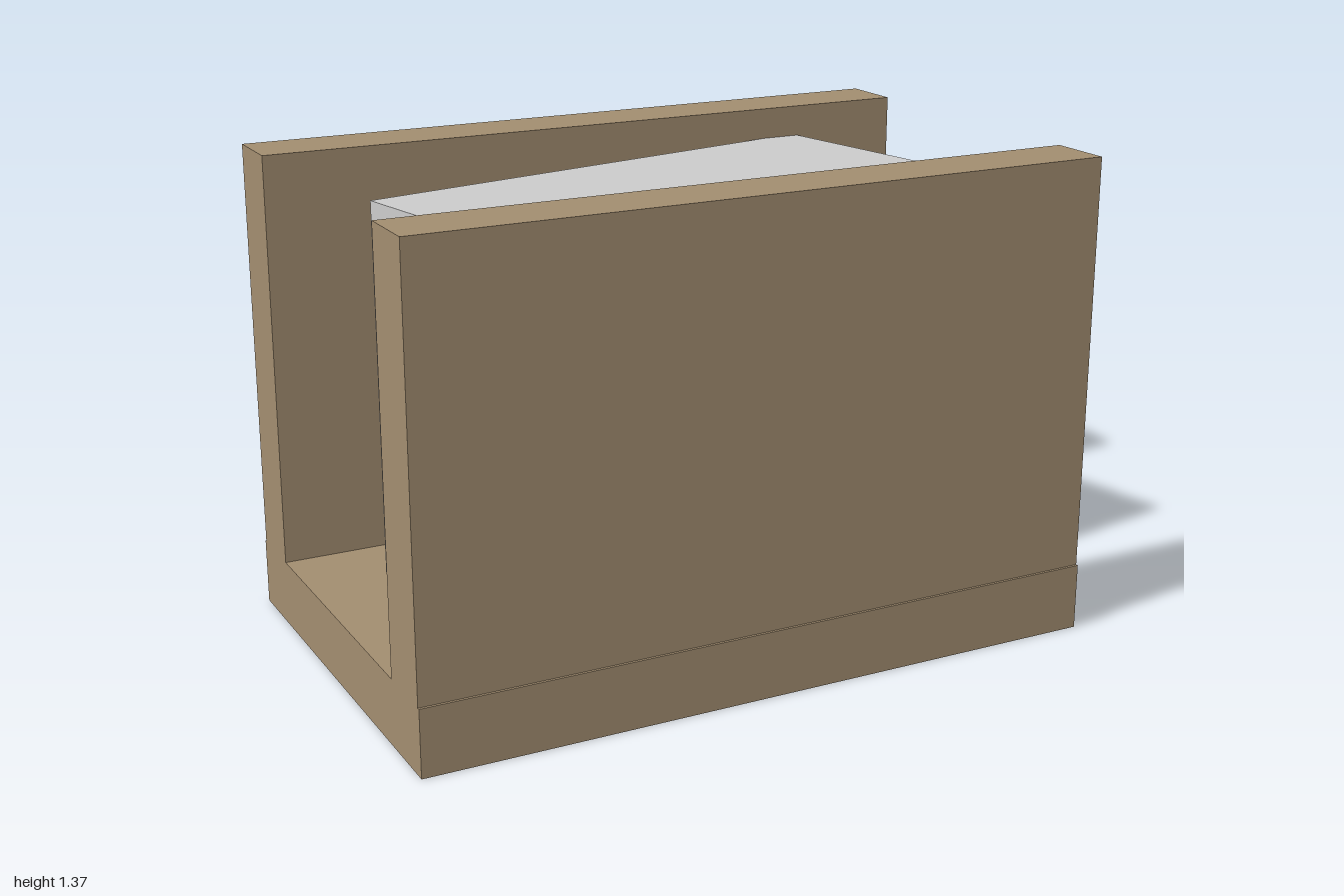
import * as THREE from 'three';

export function createModel() {
  const model = new THREE.Group();
  model.name = 'blockInChannel';
  const brown = new THREE.MeshStandardMaterial({ color: 0xa28d70 });
  const grey = new THREE.MeshStandardMaterial({ color: 0xcccccc });

  // Box given by its size, bottom height and z position
  const addBox = (name, material, [w, h, d], bottom, z = 0) => {
    const mesh = new THREE.Mesh(new THREE.BoxGeometry(w, h, d), material);
    mesh.name = name;
    mesh.position.set(0, bottom + h / 2, z);
    model.add(mesh);
    return mesh;
  };

  // Channel: floor slab and two walls set slightly in from its edges
  addBox('floor', brown, [2, 0.19, 1.25], 0);
  addBox('frontWall', brown, [2, 1.18, 0.185], 0.19, 0.525);
  addBox('backWall', brown, [2, 1.18, 0.185], 0.19, -0.525);

  // Turned block wedged between the walls, just clear of the floor
  const block = addBox('block', grey, [1.496, 1.06, 0.626], 0.22);
  block.rotation.y = 0.2;

  return model;
}
